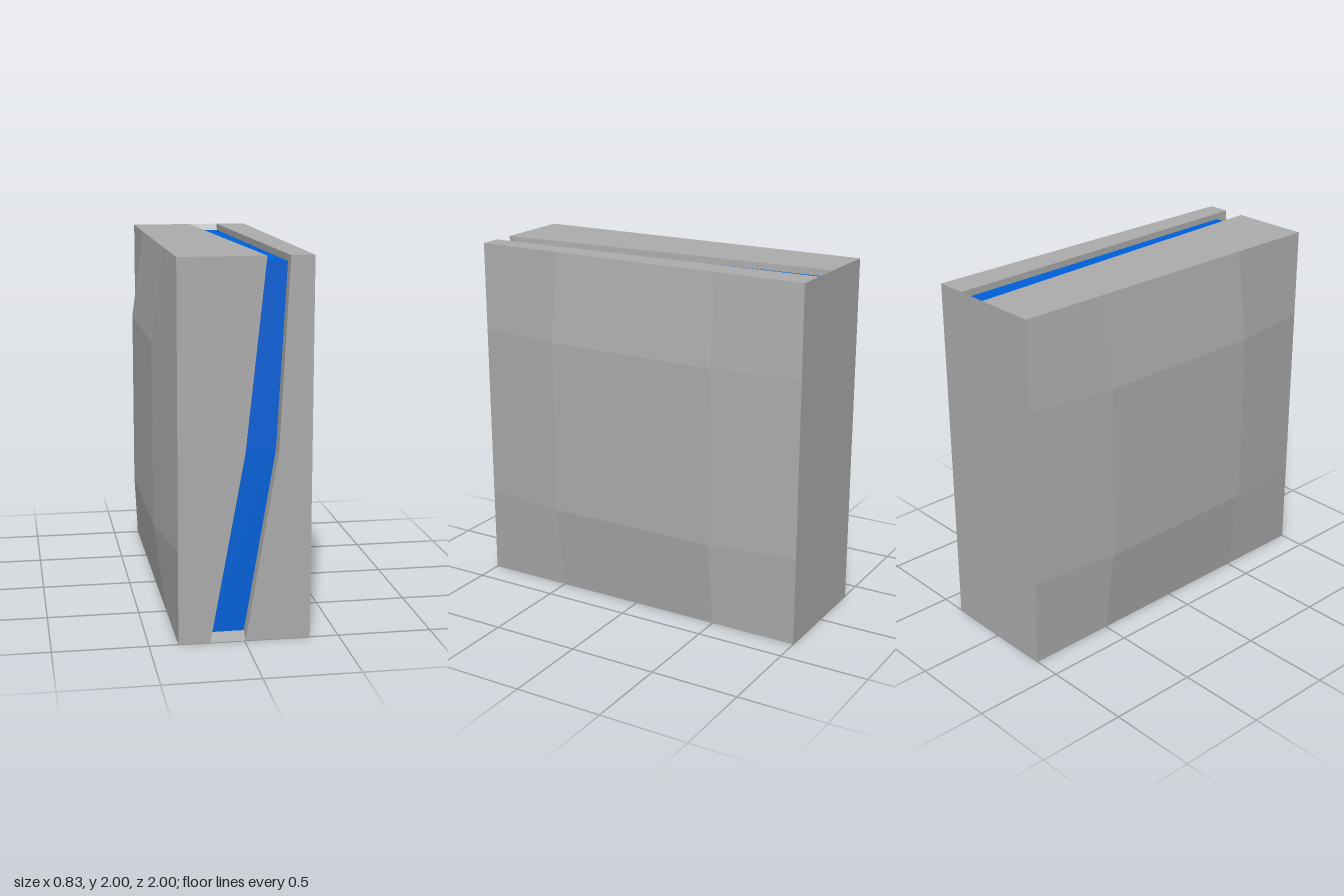
import * as THREE from 'three';

const grey = new THREE.MeshStandardMaterial({ color: 0xababab });
grey.name = 'grey shell';
const blue = new THREE.MeshStandardMaterial({ color: 0x005fd7 });
blue.name = 'blue strip';
const black = new THREE.MeshStandardMaterial({ color: 0x2a2a2a });
black.name = 'black base';

const RIM = 0.347, BULGE = 0.415;

// Mesh of four-cornered faces, corners counter-clockwise, one normal per face
function quadMesh(name, quads, material) {
  const pos = [], nor = [];
  for (const q of quads) {
    const [a, b, c, d] = q.map((p) => new THREE.Vector3(...p));
    const n = c.clone().sub(a).cross(d.clone().sub(b)).normalize();
    for (const v of [a, b, c, a, c, d]) {
      pos.push(v.x, v.y, v.z);
      nor.push(n.x, n.y, n.z);
    }
  }
  const geo = new THREE.BufferGeometry();
  geo.setAttribute('position', new THREE.Float32BufferAttribute(pos, 3));
  geo.setAttribute('normal', new THREE.Float32BufferAttribute(nor, 3));
  const mesh = new THREE.Mesh(geo, material);
  mesh.name = name;
  return mesh;
}

// Stations up the front and back along the top: outer [y, z], groove floor [y, z], groove edges in x
const stations = [
  { out: [0, 1], inn: [0, 1], l: -0.18, r: 0.005 },
  { out: [0.028, 1], inn: [0.028, 0.922], l: -0.175, r: 0.01 },
  { out: [1, 1], inn: [1, 0.922], l: 0, r: 0.173 },
  { out: [2, 1], inn: [1.963, 0.922], l: 0.105, r: 0.225 },
  { out: [2, -0.98], inn: [1.963, -0.98], l: 0.001, r: 0.174 },
  { out: [2, -1], inn: [2, -1], l: 0, r: 0.173 },
];

// Side panel with a raised middle; s is the sign of x
function sidePanel(s) {
  const ys = [0, 0.5, 1.5, 2], zs = [1, 0.5, -0.5, -1];
  const inner = (i) => i === 1 || i === 2;
  const p = (i, j) => [s * (inner(i) && inner(j) ? BULGE : RIM), ys[i], zs[j]];
  const quads = [];
  for (let i = 0; i < 3; i++) {
    for (let j = 0; j < 3; j++) {
      const q = [p(i, j), p(i, j + 1), p(i + 1, j + 1), p(i + 1, j)];
      quads.push(s > 0 ? q : q.reverse());
    }
  }
  return quadMesh(s > 0 ? 'leftSidePanel' : 'rightSidePanel', quads, grey);
}

export function createModel() {
  const group = new THREE.Group();
  group.name = 'case';

  const faces = [], walls = [], ramps = [], strip = [];
  const at = (x, p) => [x, p[0], p[1]];
  for (let i = 0; i < stations.length - 1; i++) {
    const a = stations[i], b = stations[i + 1];
    // Front and top faces on both sides of the groove
    faces.push([at(-RIM, a.out), at(a.l, a.out), at(b.l, b.out), at(-RIM, b.out)]);
    faces.push([at(a.r, a.out), at(RIM, a.out), at(RIM, b.out), at(b.r, b.out)]);
    // Groove walls
    walls.push([at(a.l, a.out), at(a.l, a.inn), at(b.l, b.inn), at(b.l, b.out)]);
    walls.push([at(a.r, a.inn), at(a.r, a.out), at(b.r, b.out), at(b.r, b.inn)]);
    // Groove floor: sloped grey ends, blue between
    const end = i === 0 || i === stations.length - 2;
    (end ? ramps : strip).push([at(a.l, a.inn), at(a.r, a.inn), at(b.r, b.inn), at(b.l, b.inn)]);
  }

  // Plain back and black base
  const back = [[RIM, 0, -1], [-RIM, 0, -1], [-RIM, 2, -1], [RIM, 2, -1]];
  const base = [[-RIM, 0, -1], [RIM, 0, -1], [RIM, 0, 1], [-RIM, 0, 1]];

  group.add(
    quadMesh('frontAndTop', faces, grey),
    quadMesh('grooveWalls', walls, grey),
    quadMesh('grooveEndRamps', ramps, grey),
    quadMesh('grooveStrip', strip, blue),
    quadMesh('back', [back], grey),
    quadMesh('base', [base], black),
    sidePanel(1),
    sidePanel(-1),
  );
  return group;
}
